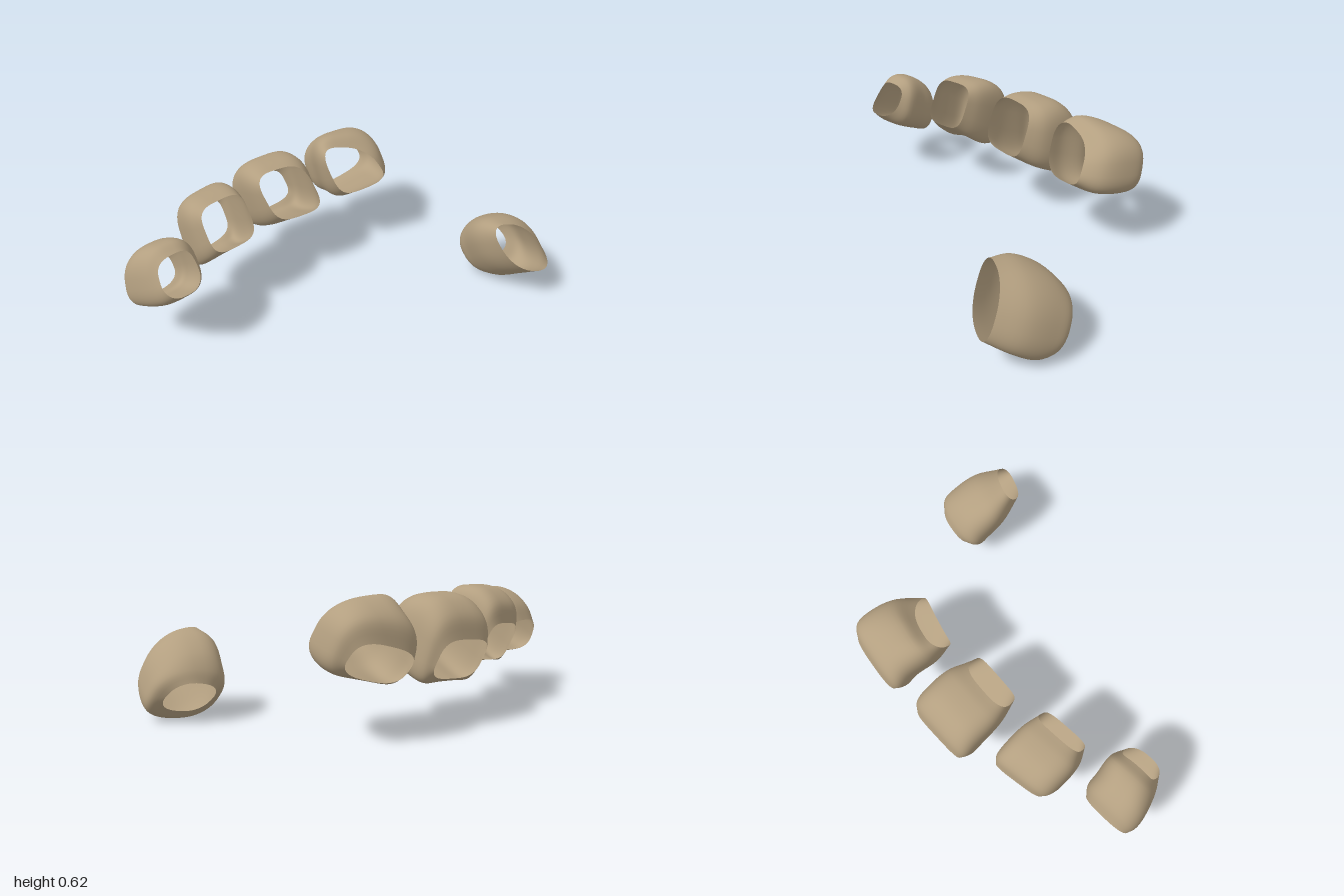
import * as THREE from 'three';

const AROUND = 60, ALONG = 20;
const power = (v, n) => Math.sign(v) * Math.pow(Math.abs(v), 2 / n);

// Point of one rounded-square cross-section; angle 0 is its top, t runs 0 (front) to 1 (back).
// yaw and roll are [front, back] slopes of the section, lean slides top against bottom,
// square sets corner sharpness, flare widens the underside, notch hollows it,
// bow pushes the sides of the front rim forward, pinch closes that rim toward +x.
function sectionPoint({ yaw, roll, lean, square, flare, notch, bow, pinch }, section, t, angle) {
  const [cx, w, tz, ty, bz, by] = section;
  const a = power(Math.sin(angle), square);
  const b = power(Math.cos(angle), square);
  const lift = notch * Math.sin(Math.PI * t) * Math.pow(Math.max(0, -Math.cos(angle)), 6);
  const side = a * w * (1 - flare * b);
  const turn = THREE.MathUtils.lerp(yaw[0], yaw[1], t);
  const tilt = THREE.MathUtils.lerp(roll[0], roll[1], t) - b * pinch * (1 - t);
  const forward = bow * Math.pow(1 - t, 3) * Math.sin(angle) ** 2;
  return new THREE.Vector3(
    cx + side * Math.cos(turn) - b * lean / 2,
    (ty + by) / 2 + b * (ty - by) / 2 + lift + side * tilt,
    (tz + bz) / 2 + b * (tz - bz) / 2 + side * Math.sin(turn) + forward);
}

// Smooth open tube lofted through cross-sections from the front rim to the back rim:
// [centre x, half width, top z, top y, bottom z, bottom y]
function sleeve(name, material, shape, sections) {
  const positions = [], indices = [];
  const row = ALONG + 1;
  for (let i = 0; i < AROUND; i++) {
    const angle = (i / AROUND) * Math.PI * 2;
    const curve = new THREE.CatmullRomCurve3(sections.map((section, k) =>
      sectionPoint(shape, section, k / (sections.length - 1), angle)));
    for (const p of curve.getPoints(ALONG)) positions.push(p.x, p.y, p.z);
    const next = ((i + 1) % AROUND) * row;
    for (let j = 0; j < ALONG; j++) {
      const a = i * row + j, b = next + j;
      indices.push(a, b, a + 1, b, b + 1, a + 1);
    }
  }
  const geometry = new THREE.BufferGeometry();
  geometry.setAttribute('position', new THREE.Float32BufferAttribute(positions, 3));
  geometry.setIndex(indices);
  geometry.computeVertexNormals();
  const mesh = new THREE.Mesh(geometry, material);
  mesh.name = name;
  return mesh;
}

export function createModel() {
  const tan = new THREE.MeshStandardMaterial({ color: 0xb39f80, side: THREE.DoubleSide });
  tan.name = 'tan';
  const model = new THREE.Group();
  model.name = 'fingerSleeves';

  model.add(sleeve('littleFingerSleeve', tan,
    { yaw: [-0.08, -0.05], roll: [0.05, 0.05], lean: 0, square: 2.7, flare: 0.1, notch: 0.02, bow: -0.025, pinch: 0 }, [
      [-0.805, 0.095, -0.11, 0.53, 0.0, 0.37],
      [-0.81, 0.13, -0.17, 0.555, -0.07, 0.29],
      [-0.835, 0.145, -0.25, 0.53, -0.20, 0.215],
      [-0.842, 0.145, -0.32, 0.47, -0.26, 0.195],
      [-0.85, 0.125, -0.36, 0.385, -0.29, 0.215]]));

  model.add(sleeve('ringFingerSleeve', tan,
    { yaw: [-0.08, -0.18], roll: [0.06, 0.12], lean: 0.02, square: 3.6, flare: 0, notch: 0.05, bow: 0, pinch: 0 }, [
      [-0.455, 0.125, -0.29, 0.595, -0.18, 0.38],
      [-0.462, 0.152, -0.36, 0.60, -0.25, 0.29],
      [-0.462, 0.158, -0.45, 0.58, -0.36, 0.20],
      [-0.46, 0.152, -0.52, 0.52, -0.42, 0.195],
      [-0.455, 0.13, -0.54, 0.425, -0.46, 0.235]]));

  model.add(sleeve('middleFingerSleeve', tan,
    { yaw: [0.06, 0], roll: [0, 0.1], lean: 0.05, square: 3.4, flare: 0, notch: 0.04, bow: 0.01, pinch: 0 }, [
      [-0.055, 0.14, -0.38, 0.59, -0.24, 0.365],
      [-0.04, 0.175, -0.45, 0.60, -0.35, 0.265],
      [-0.032, 0.182, -0.56, 0.58, -0.49, 0.185],
      [-0.03, 0.178, -0.635, 0.51, -0.56, 0.18],
      [-0.03, 0.15, -0.66, 0.405, -0.60, 0.225]]));

  model.add(sleeve('indexFingerSleeve', tan,
    { yaw: [0.25, 0.12], roll: [0, 0.3], lean: 0.06, square: 2.9, flare: 0, notch: 0.03, bow: 0.025, pinch: 0.2 }, [
      [0.36, 0.14, -0.39, 0.58, -0.26, 0.365],
      [0.4, 0.182, -0.45, 0.615, -0.34, 0.295],
      [0.435, 0.188, -0.55, 0.59, -0.45, 0.26],
      [0.442, 0.186, -0.625, 0.53, -0.53, 0.255],
      [0.443, 0.15, -0.65, 0.425, -0.57, 0.28]]));

  model.add(sleeve('thumbSleeve', tan,
    { yaw: [0.4, 0.12], roll: [-0.15, 0.25], lean: 0.07, square: 2.4, flare: 0, notch: 0, bow: 0, pinch: 0 }, [
      [0.757, 0.112, 0.48, 0.405, 0.64, 0.18],
      [0.79, 0.165, 0.37, 0.385, 0.53, 0.085],
      [0.822, 0.17, 0.26, 0.32, 0.43, 0.01],
      [0.835, 0.16, 0.205, 0.25, 0.36, 0.005],
      [0.84, 0.105, 0.185, 0.19, 0.31, 0.05]]));

  return model;
}
